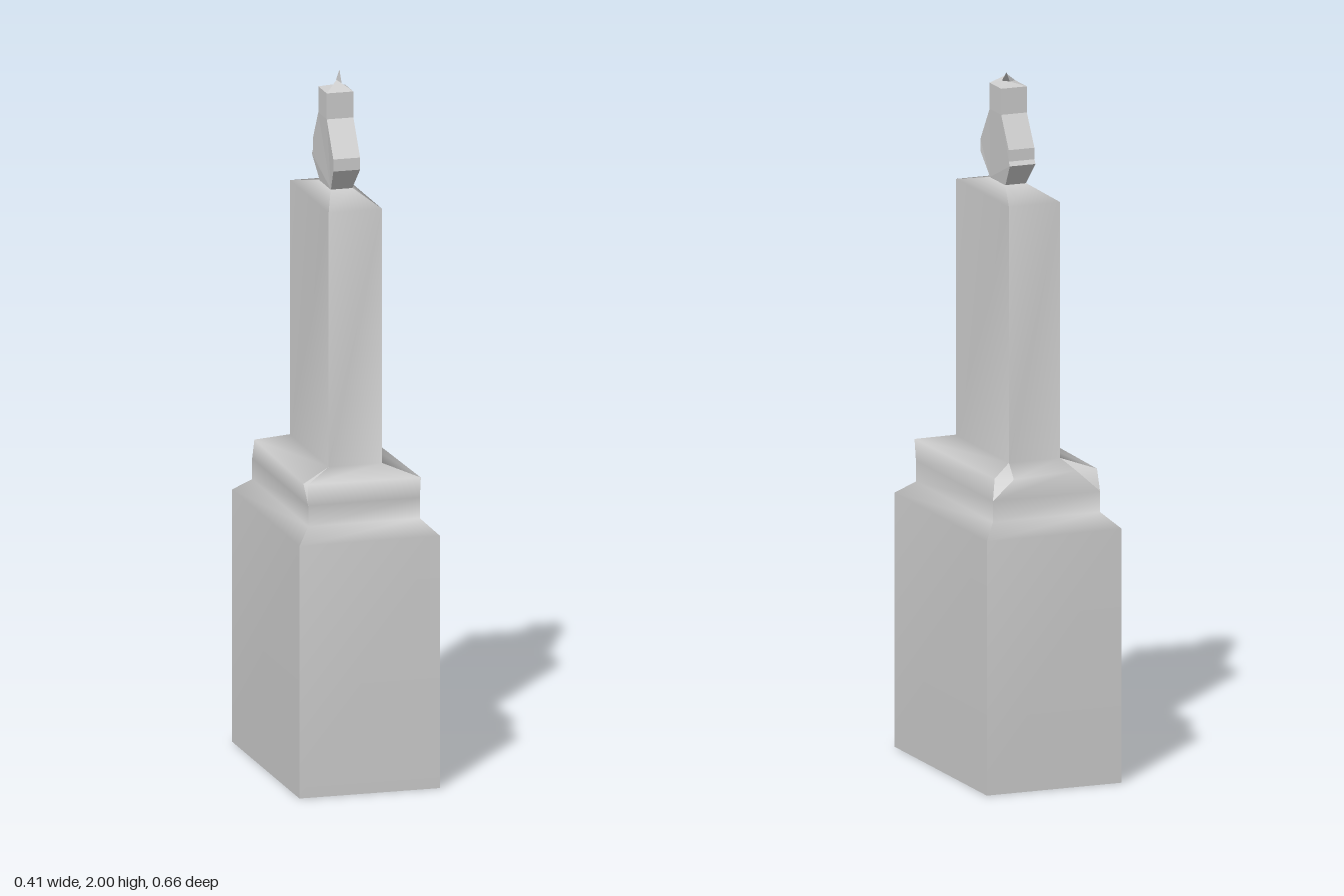
import * as THREE from 'three';

const material = new THREE.MeshStandardMaterial({ color: 0xcccccc, side: THREE.DoubleSide });

function addMesh(group, name, geometry) {
  const mesh = new THREE.Mesh(geometry, material);
  mesh.name = name;
  group.add(mesh);
}

// Rectangle as seven ring points (some corners doubled so the worn collar can split them)
function rect(hx, hz, y) {
  return [[-1, 1], [-1, 1], [1, 1], [1, -1], [1, -1], [-1, -1], [-1, -1]]
    .map(([x, z]) => new THREE.Vector3(x * hx, y, z * hz));
}

// One side of the column: smooth up the profile, sharp at its vertical edges
function sideStrip(rings, i) {
  const positions = [], index = [];
  rings.forEach((ring) => {
    positions.push(...ring[i].toArray(), ...ring[(i + 1) % ring.length].toArray());
  });
  const corner = (k) => new THREE.Vector3().fromArray(positions, k * 3);
  for (let r = 0; r < rings.length - 1; r++) {
    const a = r * 2;
    for (const t of [[a, a + 1, a + 3], [a, a + 3, a + 2]]) {
      if (new THREE.Triangle(...t.map(corner)).getArea() > 1e-8) index.push(...t);
    }
  }
  const g = new THREE.BufferGeometry();
  g.setAttribute('position', new THREE.Float32BufferAttribute(positions, 3));
  g.setIndex(index);
  g.computeVertexNormals();
  return g;
}

export function createModel() {
  const model = new THREE.Group();

  // Pedestal, uneven collar, shaft and sloping shoulder
  const collar = [[-0.172, 0.258], [-0.163, 0.272], [0.163, 0.285], [0.15, -0.257],
    [0.105, -0.288], [-0.1, -0.253], [-0.163, -0.253]]
    .map(([x, z]) => new THREE.Vector3(x, 0.89, z));
  const rings = [
    rect(0.205, 0.33, 0), rect(0.205, 0.33, 0.73),
    rect(0.163, 0.275, 0.77), rect(0.163, 0.275, 0.83),
    collar,
    rect(0.078, 0.19, 0.915), rect(0.078, 0.19, 1.65),
    rect(0.032, 0.055, 1.68),
  ];
  const column = new THREE.Group();
  column.name = 'column';
  for (let i = 0; i < 7; i++) addMesh(column, 'columnSide', sideStrip(rings, i));
  addMesh(column, 'underside', new THREE.PlaneGeometry(0.41, 0.66).rotateX(Math.PI / 2));
  model.add(column);

  // Urn finial: side outline extruded across x, pinched at the foot
  const outline = [[0.055, 1.68], [0.105, 1.745], [0.105, 1.78], [0.04, 1.88], [0.04, 1.955],
    [-0.043, 1.955], [-0.043, 1.88], [-0.097, 1.79], [-0.097, 1.757], [-0.105, 1.745], [-0.055, 1.68]];
  const urn = new THREE.ExtrudeGeometry(
    new THREE.Shape(outline.map(([z, y]) => new THREE.Vector2(z, y))),
    { depth: 0.078, bevelEnabled: false },
  ).translate(0, 0, -0.039).rotateY(-Math.PI / 2);
  const p = urn.attributes.position;
  for (let i = 0; i < p.count; i++) if (p.getY(i) < 1.69) p.setX(i, p.getX(i) * 0.8);
  urn.computeVertexNormals();
  addMesh(model, 'urn', urn);

  // Bent flame: rim corners, notch, crest, right fold and tip
  const v = {
    fl: [-0.039, 1.955, 0.04], fr: [0.039, 1.955, 0.04],
    br: [0.039, 1.955, -0.043], bl: [-0.039, 1.955, -0.043],
    notch: [0, 1.966, -0.013], crest: [0, 1.983, 0.005],
    fold: [0.016, 1.966, 0.006], tip: [0.022, 2, -0.04],
  };
  const faces = ['fl fr crest', 'fr fold crest', 'crest fold tip', 'crest tip notch', 'fold notch tip',
    'br bl notch', 'bl fl notch', 'fl crest notch', 'fr br fold', 'br notch fold'];
  const flame = new THREE.BufferGeometry();
  flame.setAttribute('position', new THREE.Float32BufferAttribute(
    faces.flatMap((f) => f.split(' ').flatMap((k) => v[k])), 3));
  flame.computeVertexNormals();
  addMesh(model, 'flame', flame);

  return model;
}
